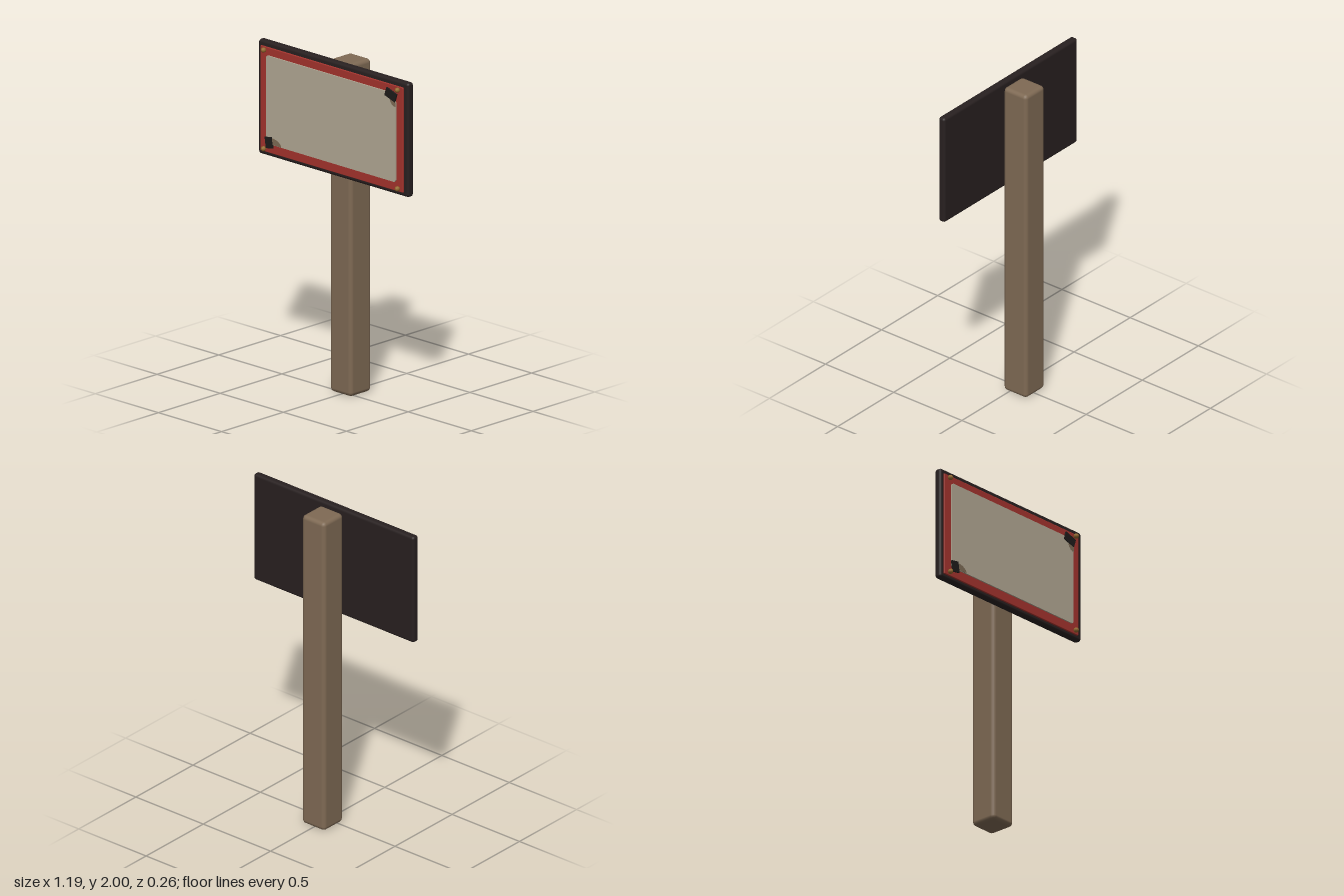
import * as THREE from 'three';
import { RoundedBoxGeometry } from 'three/addons/geometries/RoundedBoxGeometry.js';

const paint = (name, color) => {
  const m = new THREE.MeshStandardMaterial({ color });
  m.name = name;
  return m;
};

export function createModel() {
  const wood = paint('wood', 0x7f6a54);
  const dark = paint('dark board', 0x282020);
  const red = paint('red trim', 0xa4332d);
  const paper = paint('paper', 0xb2a894);
  const stain = paint('stain', 0x7d6b55);
  const tape = paint('tape', 0x1e1b1a);
  const brass = paint('brass', 0x966a2e);

  const group = new THREE.Group();
  const add = (name, geometry, material, x, y, z, roll = 0) => {
    const mesh = new THREE.Mesh(geometry, material);
    mesh.name = name;
    mesh.position.set(x, y, z);
    mesh.rotation.z = roll;
    group.add(mesh);
    return mesh;
  };

  // Square post with softened edges
  add('post', new RoundedBoxGeometry(0.17, 1.98, 0.17, 2, 0.024), wood, 0, 0.995, -0.045);

  // Sign board and its red trim
  add('board', new RoundedBoxGeometry(1.19, 0.68, 0.046, 2, 0.016), dark, 0, 1.66, 0.073);
  add('redTrim', new RoundedBoxGeometry(1.13, 0.625, 0.02, 1, 0.004), red, -0.005, 1.657, 0.095);

  // Paper sheet with worn corners
  const sheet = new THREE.Shape([
    [-0.515, 1.41], [-0.5, 1.4], [0.5, 1.398], [0.51, 1.41],
    [0.51, 1.87], [0.47, 1.924], [-0.505, 1.924], [-0.515, 1.915],
  ].map(([x, y]) => new THREE.Vector2(x, y)));
  add('paperSheet', new THREE.ExtrudeGeometry(sheet, { depth: 0.009, bevelEnabled: false }),
    paper, 0, 0, 0.104);

  // Stains beside the taped corners
  add('lowerStain', new THREE.CylinderGeometry(0.075, 0.075, 0.002, 12, 1, false, Math.PI / 2, Math.PI / 2)
    .rotateX(Math.PI / 2).rotateZ(Math.PI / 2), stain, -0.47, 1.401, 0.1135)
    .geometry = quarterDisc(0.075, 0.04);
  add('upperStain', quarterDisc(-0.045, -0.045), stain, 0.51, 1.892, 0.1135);

  // Tape pieces
  add('upperTape', new THREE.BoxGeometry(0.085, 0.052, 0.009), tape, 0.475, 1.913, 0.114, -0.32);
  add('lowerTape', new THREE.BoxGeometry(0.054, 0.066, 0.009), tape, -0.49, 1.41, 0.114, 0.15);

  // Faceted corner studs
  for (const x of [-0.532, 0.528]) {
    for (const y of [1.365, 1.952]) {
      const stud = new THREE.SphereGeometry(0.016, 8, 5).rotateX(Math.PI / 2);
      add('cornerStud', stud, brass, x, y, 0.116);
    }
  }
  return group;
}

// Thin quarter ellipse, extending from its corner along the signs of w and h
function quarterDisc(w, h) {
  const points = [new THREE.Vector2(0, 0)];
  for (let i = 0; i <= 6; i++) {
    const a = (i / 6) * Math.PI / 2;
    points.push(new THREE.Vector2(w * Math.cos(a), h * Math.sin(a)));
  }
  return new THREE.ExtrudeGeometry(new THREE.Shape(points), { depth: 0.001, bevelEnabled: false });
}
